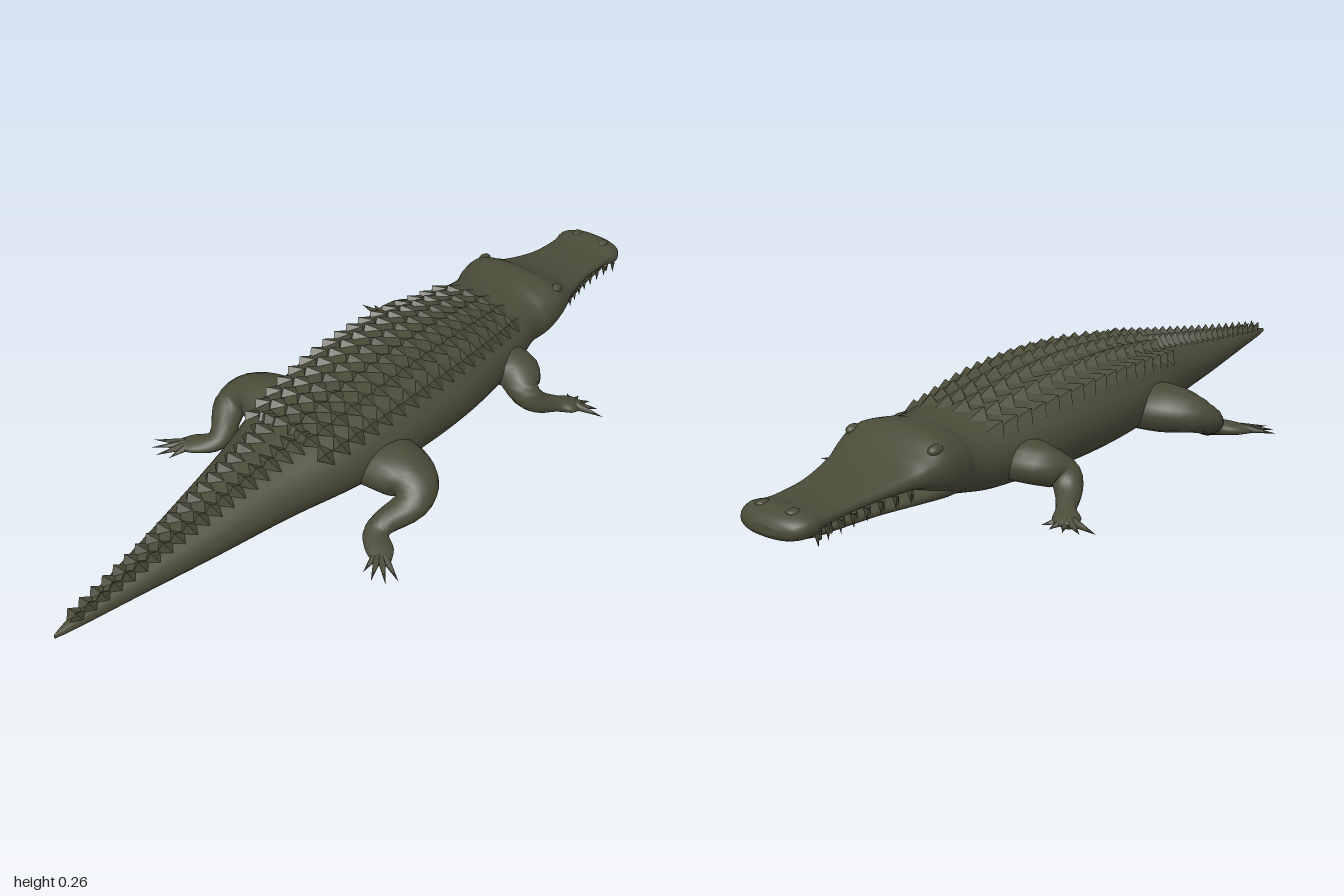
import * as THREE from 'three';
import { mergeGeometries } from 'three/addons/utils/BufferGeometryUtils.js';

// Smoothly sample rows of numbers, u in 0..1
function sample(rows, u) {
  const f = Math.min(u, 0.99999) * (rows.length - 1), i = Math.floor(f), t = f - i;
  const at = k => rows[Math.max(0, Math.min(rows.length - 1, k))];
  const [a, b, c, d] = [at(i - 1), at(i), at(i + 1), at(i + 2)];
  return b.map((p, k) => p + 0.5 * t * (c[k] - a[k] +
    t * (2 * a[k] - 5 * p + 4 * c[k] - d[k] + t * (3 * (p - c[k]) + d[k] - a[k]))));
}

// Skin a closed surface over n+1 rings of m points; both ends are capped
function skin(n, m, point) {
  const pos = [], idx = [], v = new THREE.Vector3();
  for (let i = 0; i <= n; i++)
    for (let j = 0; j < m; j++) {
      point(i / n, j / m * Math.PI * 2, v);
      pos.push(v.x, v.y, v.z);
    }
  for (let i = 0; i < n; i++)
    for (let j = 0; j < m; j++) {
      const a = i * m + j, b = i * m + (j + 1) % m;
      idx.push(a, b, a + m, b, b + m, a + m);
    }
  for (let j = 1; j < m - 1; j++) idx.push(0, j + 1, j, n * m, n * m + j, n * m + j + 1);
  const g = new THREE.BufferGeometry();
  g.setAttribute('position', new THREE.Float32BufferAttribute(pos, 3));
  g.setIndex(idx);
  g.computeVertexNormals();
  return g;
}

const pw = (v, e) => Math.sign(v) * Math.pow(Math.abs(v), e);

// Trunk along z; rows are z, half width, bottom, top, squareness
function trunk(rows, n) {
  return skin(n, 32, (u, a, v) => {
    const [z, w, b, t, k] = sample(rows, u);
    v.set(w * pw(Math.cos(a), 2 / k), (b + t) / 2 + (t - b) / 2 * pw(Math.sin(a), 2 / k), z);
  });
}

// Limb along a path; rows are x, y, z, side radius, vertical radius
function limb(rows, s) {
  const path = rows.map(([x, ...r]) => [x * s, ...r]);
  const P = u => new THREE.Vector3(...sample(path, u).slice(0, 3));
  const up = new THREE.Vector3(0, 1, 0);
  return skin(28, 16, (u, a, v) => {
    const r = sample(path, u);
    const T = P(Math.min(1, u + 0.02)).sub(P(Math.max(0, u - 0.02))).normalize();
    const side = T.clone().cross(up).normalize(), nrm = T.clone().cross(side);
    v.copy(P(u)).addScaledVector(side, Math.cos(a) * r[3]).addScaledVector(nrm, Math.sin(a) * r[4]);
  });
}

const BODY = [
  [-1.0, 0.035, 0.105, 0.125, 2.3], [-0.985, 0.075, 0.092, 0.142, 2.4], [-0.95, 0.094, 0.088, 0.151, 2.5],
  [-0.9, 0.087, 0.1, 0.143, 2.6], [-0.8, 0.093, 0.108, 0.146, 2.6], [-0.7, 0.117, 0.108, 0.167, 2.6],
  [-0.65, 0.137, 0.1, 0.19, 2.6], [-0.6, 0.15, 0.075, 0.217, 2.6], [-0.55, 0.149, 0.052, 0.217, 2.4],
  [-0.5, 0.141, 0.038, 0.211, 2.2], [-0.4, 0.165, 0.018, 0.216, 2.1], [-0.2, 0.196, 0.007, 0.241, 2.1],
  [0, 0.2, 0.006, 0.245, 2.1], [0.2, 0.176, 0.013, 0.225, 2.1], [0.4, 0.124, 0.023, 0.188, 2],
  [0.6, 0.082, 0.034, 0.15, 2], [0.8, 0.042, 0.05, 0.115, 2], [0.95, 0.015, 0.064, 0.09, 2], [1.0, 0.003, 0.07, 0.08, 2]];
const JAW = [
  [-0.95, 0.03, 0.092, 0.1, 2.3], [-0.93, 0.066, 0.08, 0.106, 2.4], [-0.85, 0.074, 0.074, 0.108, 2.4],
  [-0.75, 0.088, 0.071, 0.108, 2.4], [-0.65, 0.115, 0.066, 0.115, 2.4], [-0.57, 0.128, 0.056, 0.13, 2.3],
  [-0.5, 0.11, 0.045, 0.13, 2.2]];
const FRONT_LEG = [
  [0.11, 0.1, -0.36, 0.06, 0.05], [0.185, 0.1, -0.355, 0.06, 0.048], [0.235, 0.075, -0.325, 0.04, 0.038],
  [0.262, 0.045, -0.345, 0.031, 0.028], [0.288, 0.026, -0.39, 0.023, 0.02], [0.312, 0.018, -0.42, 0.032, 0.014],
  [0.335, 0.014, -0.438, 0.016, 0.008]];
const HIND_LEG = [
  [0.11, 0.095, 0.14, 0.09, 0.055], [0.2, 0.1, 0.14, 0.082, 0.058], [0.265, 0.095, 0.155, 0.062, 0.048],
  [0.288, 0.07, 0.195, 0.044, 0.036], [0.26, 0.038, 0.25, 0.032, 0.028], [0.262, 0.024, 0.285, 0.03, 0.021],
  [0.3, 0.018, 0.315, 0.032, 0.015], [0.33, 0.014, 0.34, 0.018, 0.008]];
const FRONT_TOES = [[0.4, -0.438], [0.372, -0.458], [0.337, -0.472], [0.303, -0.474], [0.275, -0.462]];
const HIND_TOES = [[0.392, 0.36], [0.375, 0.385], [0.345, 0.4], [0.312, 0.388]];

// Body measurements at a given z
function bodyAt(z) {
  let lo = 0, hi = 1;
  for (let i = 0; i < 30; i++) {
    const m = (lo + hi) / 2;
    if (sample(BODY, m)[0] < z) lo = m; else hi = m;
  }
  return sample(BODY, lo);
}
function backPoint(z, frac) {
  const [, w, b, t, k] = bodyAt(z);
  return new THREE.Vector3(w * frac, (b + t) / 2 + (t - b) / 2 * Math.pow(1 - Math.pow(Math.abs(frac), k), 1 / k), z);
}

// Keeled back plate with its peak towards the tail
function scute(z, frac, wide, high, long) {
  let g = new THREE.ConeGeometry(1, 1, 4, 1, true).toNonIndexed();
  const p = g.attributes.position;
  for (let i = 0; i < p.count; i++) if (p.getY(i) > 0) p.setZ(i, 0.55);
  g.translate(0, 0.4, 0).scale(wide, high, long);
  const c = backPoint(z, frac), d = backPoint(z, frac + 0.02).sub(backPoint(z, frac - 0.02));
  g.rotateZ(Math.atan2(d.y, d.x)).translate(c.x, c.y, c.z);
  g.computeVertexNormals();
  return g;
}

// Cone running from one point to another
function spike(from, to, r) {
  const d = to.clone().sub(from);
  return new THREE.ConeGeometry(r, d.length(), 8)
    .applyQuaternion(new THREE.Quaternion().setFromUnitVectors(new THREE.Vector3(0, 1, 0), d.clone().normalize()))
    .translate((from.x + to.x) / 2, (from.y + to.y) / 2, (from.z + to.z) / 2);
}

export function createModel() {
  const group = new THREE.Group();
  const hide = new THREE.MeshStandardMaterial({ color: 0x4a4b38 });
  hide.name = 'olive hide';
  const add = (name, g) => {
    const mesh = new THREE.Mesh(g, hide);
    mesh.name = name;
    group.add(mesh);
  };
  const V = (x, y, z) => new THREE.Vector3(x, y, z);

  add('body', trunk(BODY, 108));
  add('lowerJaw', trunk(JAW, 36));

  // Rows of plates on the back, then a double crest on the tail
  const back = [], crest = [], teeth = [];
  for (const s of [-1, 1]) {
    for (let z = -0.42; z < 0.3; z += 0.044)
      for (const f of [0.15, 0.45, 0.74]) back.push(scute(z, s * f, 0.03, 0.02, 0.03));
    for (let z = 0.29; z < 0.97; z += 0.034) {
      const w = bodyAt(z)[1];
      crest.push(scute(z, s * 0.33, 0.008 + w * 0.22, 0.024, 0.026));
    }
    // Teeth along both jaws
    for (let z = -0.94; z < -0.66; z += 0.035) {
      const [, w, b, t] = bodyAt(z), x = s * w * 0.95, y = (b + t) / 2 - 0.012;
      teeth.push(spike(V(x, y, z), V(x * 1.03, y - 0.03, z), 0.006));
      teeth.push(spike(V(x * 0.88, 0.088, z + 0.017), V(x * 0.96, 0.116, z + 0.017), 0.005));
    }
  }
  add('backScutes', mergeGeometries(back));
  add('tailCrest', mergeGeometries(crest));
  add('teeth', mergeGeometries(teeth));

  for (const s of [1, -1]) {
    const side = s > 0 ? 'left' : 'right';
    add(side + 'Eye', new THREE.SphereGeometry(1, 16, 12).scale(0.014, 0.012, 0.02).translate(s * 0.116, 0.19, -0.615));
    add(side + 'Nostril', new THREE.SphereGeometry(1, 12, 8).scale(0.014, 0.007, 0.016).translate(s * 0.042, 0.146, -0.955));

    // Legs with clawed toes
    for (const [name, rows, toes] of [['FrontLeg', FRONT_LEG, FRONT_TOES], ['HindLeg', HIND_LEG, HIND_TOES]]) {
      add(side + name, limb(rows, s));
      const [fx, fy, fz] = rows[rows.length - 2];
      add(side + name + 'Toes', mergeGeometries(toes.map(([x, z]) =>
        spike(V(s * (fx * 0.8 + x * 0.2), fy, fz * 0.8 + z * 0.2), V(s * x, 0.01, z), 0.011))));
    }
  }
  return group;
}
